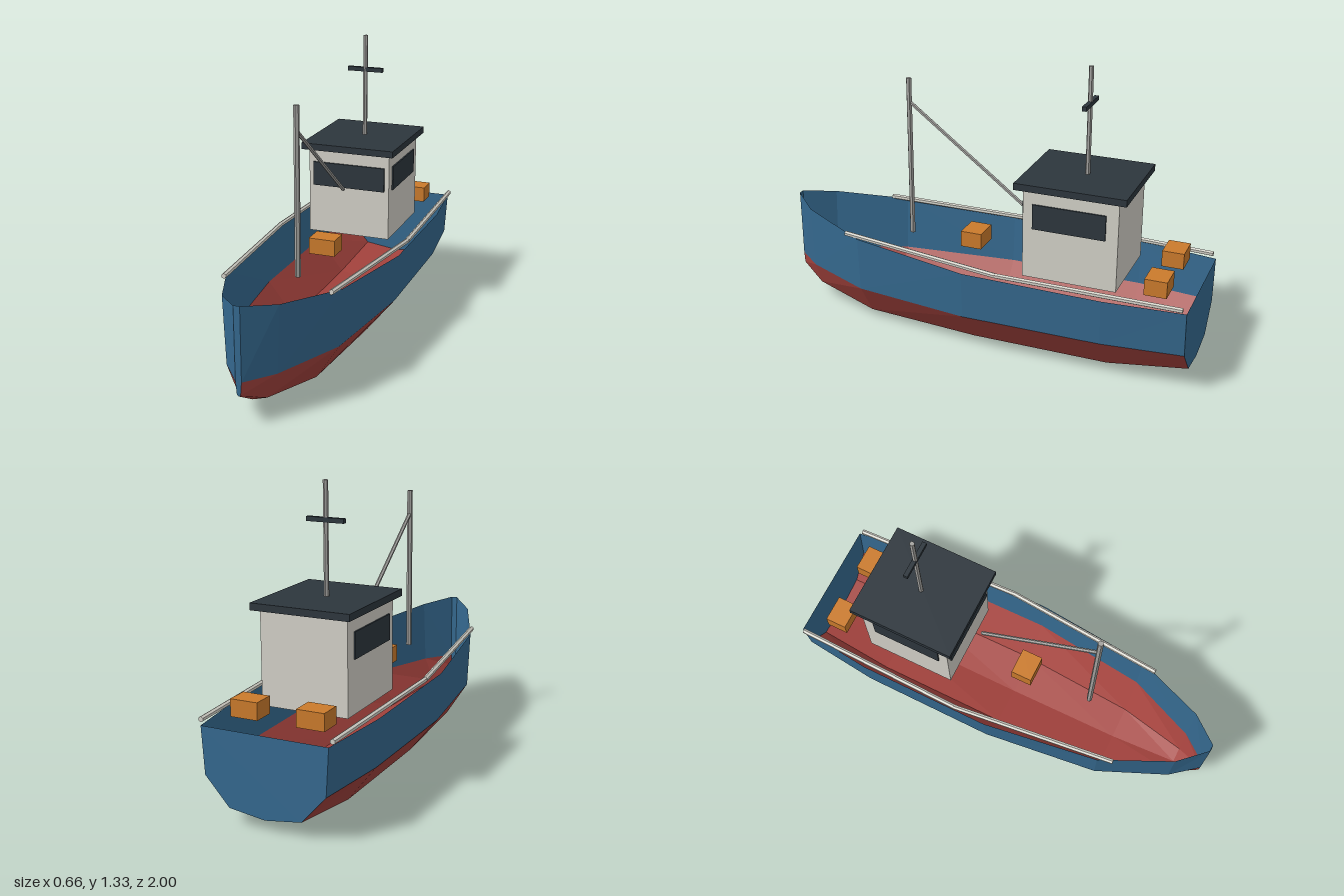
import * as THREE from 'three';

const mat = (name, color, extra = {}) => {
  const m = new THREE.MeshStandardMaterial({ color, flatShading: true, ...extra });
  m.name = name;
  return m;
};

// Hull stations, bow to stern: z, keel y, bilge x, bilge y, waterline x, waterline y, sheer x, sheer y
const STATIONS = [
  [1.0, 0.145, 0.008, 0.15, 0.013, 0.207, 0.014, 0.53],
  [0.875, 0.07, 0.065, 0.09, 0.112, 0.205, 0.124, 0.505],
  [0.55, 0.016, 0.147, 0.042, 0.25, 0.202, 0.263, 0.463],
  [0.0, 0.004, 0.185, 0.037, 0.315, 0.2, 0.33, 0.422],
  [-0.64, 0.014, 0.183, 0.037, 0.311, 0.2, 0.325, 0.412],
  [-1.0, 0.055, 0.163, 0.078, 0.272, 0.2, 0.285, 0.405],
];

// Rows of one station from keel to sheer, on one side
function section(s, side) {
  const [z, ky, bx, by, wx, wy, sx, sy] = s;
  return [[0, ky], [bx, by], [wx, wy], [sx, sy]].map(([x, y]) => [x * side, y, z]);
}

function polygons(list) {
  const pos = [];
  for (const p of list) {
    for (let i = 1; i < p.length - 1; i++) pos.push(...p[0], ...p[i], ...p[i + 1]);
  }
  const g = new THREE.BufferGeometry();
  g.setAttribute('position', new THREE.Float32BufferAttribute(pos, 3));
  g.computeVertexNormals();
  return g;
}

// Plating between two rows, on both sides of the hull
function plating(fromRow, toRow) {
  const quads = [];
  for (const side of [1, -1]) {
    for (let i = 0; i < STATIONS.length - 1; i++) {
      const a = section(STATIONS[i], side);
      const b = section(STATIONS[i + 1], side);
      for (let r = fromRow; r < toRow; r++) {
        const q = [a[r], b[r], b[r + 1], a[r + 1]];
        quads.push(side > 0 ? q : q.reverse());
      }
    }
  }
  return quads;
}

// Closed end face of the hull
function endCap(s, forward) {
  const right = section(s, 1);
  const left = section(s, -1).slice(1).reverse();
  const ring = [...right, ...left];
  return forward ? ring : ring.reverse();
}

export function createModel() {
  const boat = new THREE.Group();
  boat.name = 'fishingBoat';

  const blue = mat('hullBlue', 0x35698f, { side: THREE.DoubleSide });
  const red = mat('bottomRed', 0xa3423d, { side: THREE.DoubleSide });
  const cream = mat('cabinCream', 0xd3d1c8);
  const dark = mat('darkSlate', 0x2d363d);
  const metal = mat('mastGrey', 0xa5a4a1);
  const orange = mat('crateOrange', 0xcb7b2c);

  const add = (name, geometry, material) => {
    const m = new THREE.Mesh(geometry, material);
    m.name = name;
    boat.add(m);
    return m;
  };
  // Box given by its limits
  const box = (name, material, x0, x1, y0, y1, z0, z1) =>
    add(name, new THREE.BoxGeometry(x1 - x0, y1 - y0, z1 - z0), material)
      .position.set((x0 + x1) / 2, (y0 + y1) / 2, (z0 + z1) / 2);
  // Round bar between two points
  const bar = (name, material, a, b, radius, sides = 6) => {
    const p = new THREE.Vector3(...a);
    const q = new THREE.Vector3(...b);
    const d = q.clone().sub(p);
    const m = add(name, new THREE.CylinderGeometry(radius, radius, d.length(), sides), material);
    m.position.copy(p).add(q).multiplyScalar(0.5);
    m.quaternion.setFromUnitVectors(new THREE.Vector3(0, 1, 0), d.normalize());
  };

  // Open hull: red bottom, blue topsides, stem and transom
  add('hullBottom', polygons(plating(0, 2)), red);
  add('hullTopsides', polygons(plating(2, 3)), blue);
  add('stem', polygons([endCap(STATIONS[0], true)]), blue);
  add('transom', polygons([endCap(STATIONS[STATIONS.length - 1], false)]), blue);

  // Rails along the sheer
  for (const s of [1, -1]) {
    const side = s > 0 ? 'left' : 'right';
    const knee = [0.32 * s, 0.438, -0.16];
    bar(side + 'ForeRail', cream, [0.242 * s, 0.473, 0.62], knee, 0.012);
    bar(side + 'AftRail', cream, knee, [0.294 * s, 0.424, -0.985], 0.012);
  }

  // Wheelhouse with roof and windows
  box('wheelhouse', cream, -0.2, 0.2, 0.4, 0.818, -0.67, -0.24);
  box('wheelhouseRoof', dark, -0.227, 0.227, 0.814, 0.845, -0.707, -0.205);
  box('frontWindow', dark, -0.178, 0.178, 0.635, 0.75, -0.24, -0.231);
  box('leftWindow', dark, 0.2, 0.207, 0.635, 0.75, -0.615, -0.285);
  box('rightWindow', dark, -0.207, -0.2, 0.635, 0.75, -0.615, -0.285);

  // Radio mast with crossbar
  bar('radioMast', metal, [0, 0.84, -0.465], [0, 1.33, -0.465], 0.011);
  box('crossbar', dark, -0.087, 0.087, 1.156, 1.176, -0.476, -0.456);

  // Cargo mast with boom
  bar('cargoMast', metal, [0, 0.42, 0.393], [0, 1.18, 0.393], 0.013);
  bar('boom', metal, [0, 1.07, 0.393], [0, 0.65, -0.165], 0.009);

  // Crates
  for (const [x, z] of [[0, 0.065], [0.15, -0.845], [-0.15, -0.845]]) {
    box('crate', orange, x - 0.062, x + 0.062, 0.42, 0.495, z - 0.05, z + 0.05);
  }

  return boat;
}
